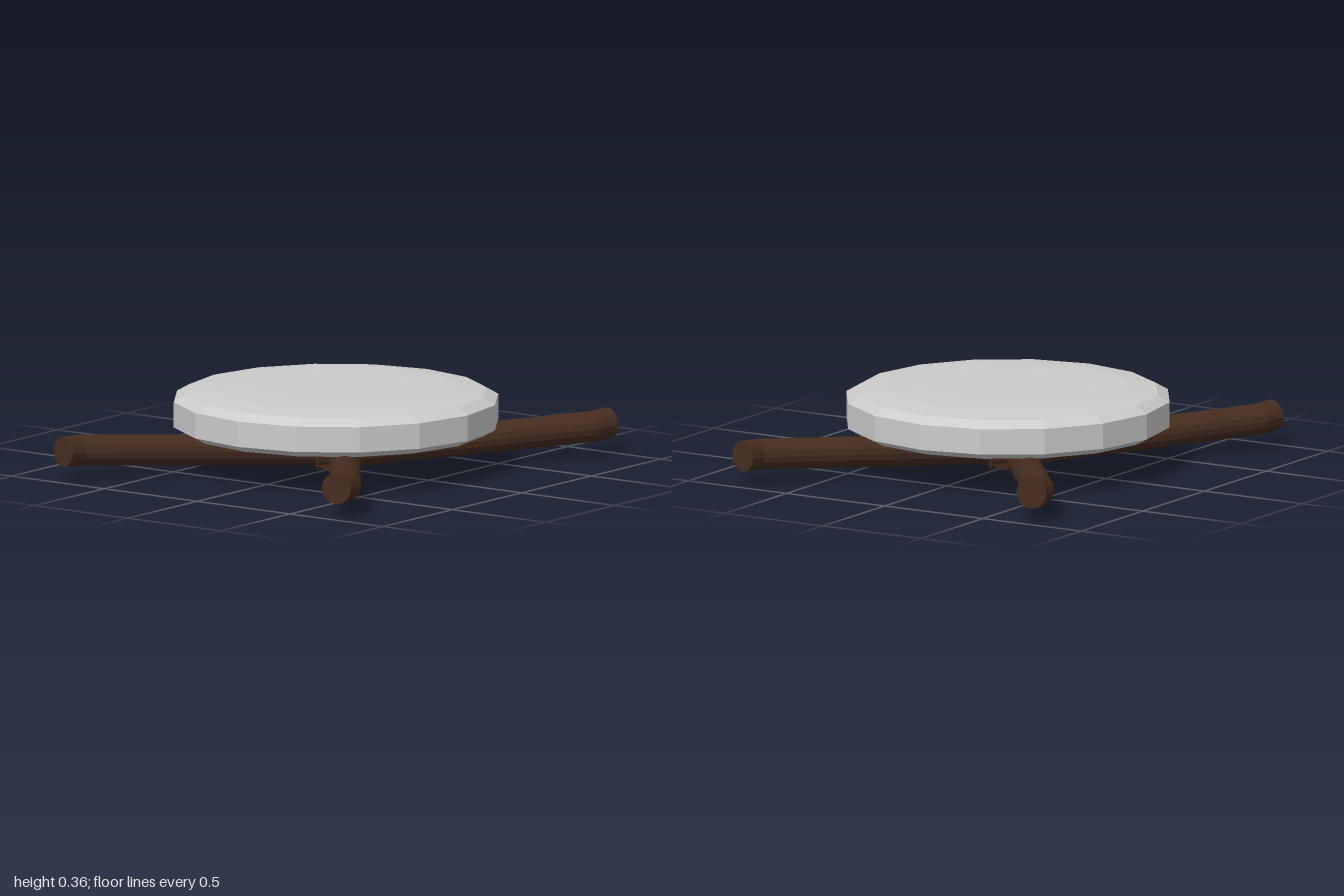
import * as THREE from 'three';

const V = (x, y, z) => new THREE.Vector3(x, y, z);

// Round log: a capped cylinder whose rings follow a path with its own ring directions
function makeLog(path, dirs, radius, material) {
  const n = path.length - 1;
  const geo = new THREE.CylinderGeometry(radius, radius, n, 16, n);
  const pos = geo.attributes.position;
  for (let i = 0; i < pos.count; i++) {
    const ring = Math.round(pos.getY(i) + n / 2);
    const dir = dirs[ring];
    const side = V(0, 1, 0).cross(dir).normalize();
    const depth = side.clone().cross(dir);
    const p = path[ring].clone()
      .addScaledVector(side, pos.getX(i))
      .addScaledVector(depth, pos.getZ(i));
    pos.setXYZ(i, p.x, p.y, p.z);
  }
  geo.computeVertexNormals();
  return new THREE.Mesh(geo, material);
}

function makeDisc(profile, material) {
  const geo = new THREE.LatheGeometry(profile.map(([r, y]) => new THREE.Vector2(r, y)), 16);
  return new THREE.Mesh(geo, material);
}

export function createModel() {
  const model = new THREE.Group();
  const grey = new THREE.MeshStandardMaterial({ color: 0xcccccc, flatShading: true });
  const brown = new THREE.MeshStandardMaterial({ color: 0x452c20, flatShading: true });

  // Shallow domed top with bevelled rim
  const top = makeDisc([
    [0.655, 0.168], [0.707, 0.197], [0.707, 0.308], [0.655, 0.338],
    [0.53, 0.354], [0.35, 0.361], [0, 0.363],
  ], grey);
  top.name = 'discTop';
  model.add(top);

  // Dark dome closing the underside
  const underside = makeDisc([[0, 0.135], [0.35, 0.138], [0.53, 0.146], [0.655, 0.168]], brown);
  underside.name = 'underside';
  model.add(underside);

  // Four legs crossing under the middle, bent slightly at both ends
  const names = { '1,1': 'frontLeftLeg', '-1,1': 'frontRightLeg', '1,-1': 'backLeftLeg', '-1,-1': 'backRightLeg' };
  for (const sx of [1, -1]) {
    for (const sz of [1, -1]) {
      const path = [
        V(-0.04, 0.07, -0.09), V(0.03, 0.074, -0.02), V(0.717, 0.131, 0.89), V(0.735, 0.136, 0.98),
      ];
      const dirs = [V(0.7, 0.05, 0.7), V(0.64, 0.05, 0.77), V(0.5, 0.05, 0.87), V(0.27, 0.05, 0.96)];
      for (const v of [...path, ...dirs]) v.multiply(V(sx, 1, sz));
      dirs.forEach((d) => d.normalize());
      const leg = makeLog(path, dirs, 0.068, brown);
      leg.name = names[`${sx},${sz}`];
      model.add(leg);
    }
  }
  return model;
}
